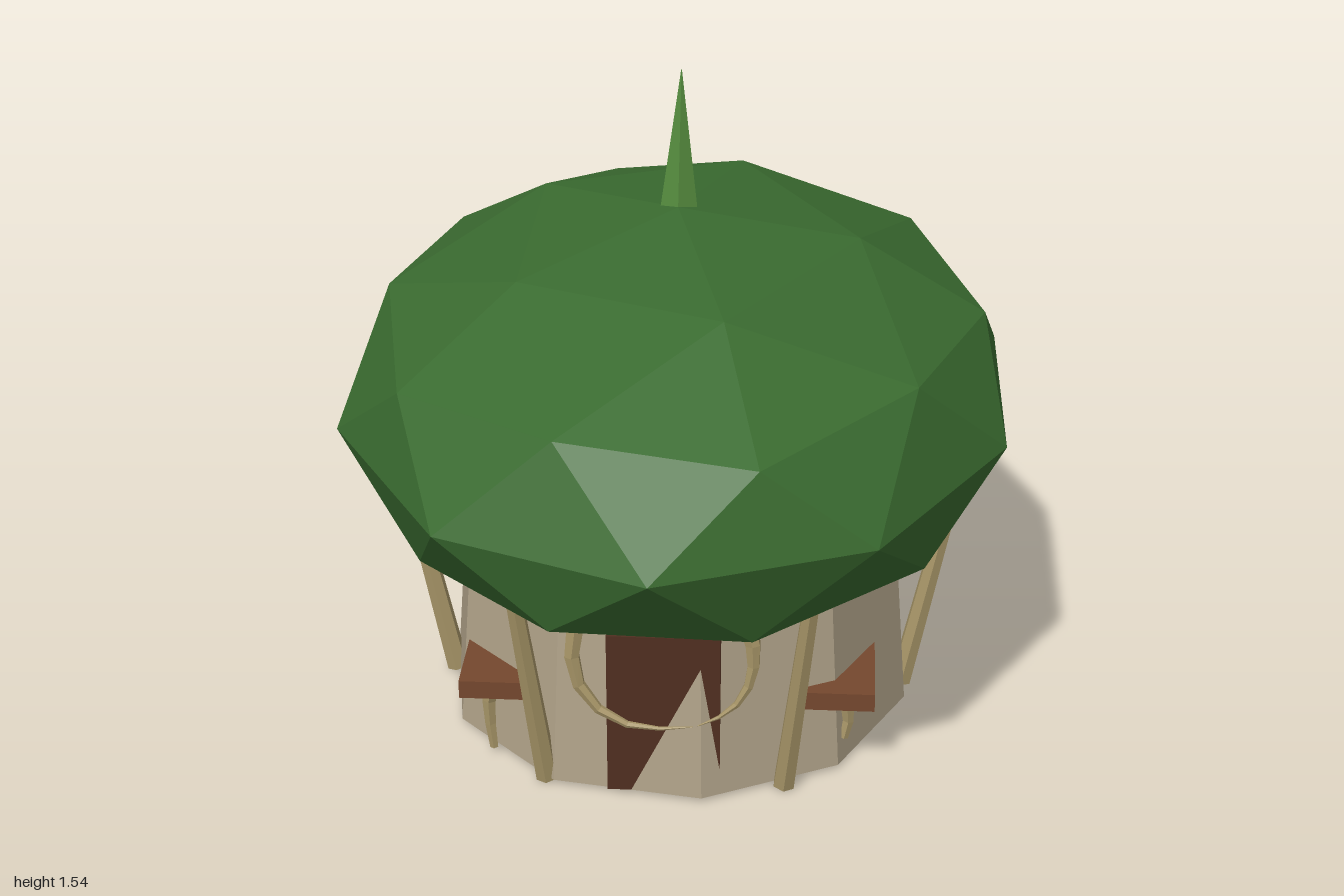
import * as THREE from 'three';

const material = (name, color) => {
  const m = new THREE.MeshStandardMaterial({ color, flatShading: true });
  m.name = name;
  return m;
};

const V = (x, y, z) => new THREE.Vector3(x, y, z);

// Faceted ball with a pole on top, stretched into the canopy
function canopyGeometry() {
  const verts = [0, 1, 0], faces = [], h = Math.sqrt(0.2), r = 2 * h;
  for (const [y, start] of [[h, 0], [-h, Math.PI / 5]]) {
    for (let k = 0; k < 5; k++) {
      const a = start + k * Math.PI * 0.4;
      verts.push(r * Math.cos(a), y, -r * Math.sin(a));
    }
  }
  verts.push(0, -1, 0);
  for (let k = 0; k < 5; k++) {
    const n = (k + 1) % 5;
    const u = 1 + k, u2 = 1 + n, l = 6 + k, l2 = 6 + n;
    faces.push(0, u, u2, u, l, u2, l, l2, u2, 11, l2, l);
  }
  const geo = new THREE.PolyhedronGeometry(verts, faces, 1, 1);
  geo.scale(0.8, 0.44, 1);
  geo.computeVertexNormals();
  return geo;
}

// Tube along points whose thickness runs from r0 to r1
function taperedTube(points, r0, r1, segments, sides) {
  const curve = new THREE.CatmullRomCurve3(points);
  const geo = new THREE.TubeGeometry(curve, segments, 1, sides, false);
  const pos = geo.attributes.position, p = V(0, 0, 0);
  for (let i = 0; i < pos.count; i++) {
    const t = Math.floor(i / (sides + 1)) / segments;
    const c = curve.getPointAt(t);
    p.fromBufferAttribute(pos, i).sub(c).multiplyScalar(r0 + (r1 - r0) * t).add(c);
    pos.setXYZ(i, p.x, p.y, p.z);
  }
  geo.computeVertexNormals();
  return geo;
}

// Straight tapered stick between two points
function stick(a, b, ra, rb, sides) {
  const dir = b.clone().sub(a);
  const geo = new THREE.CylinderGeometry(rb, ra, dir.length(), sides);
  geo.applyQuaternion(new THREE.Quaternion().setFromUnitVectors(V(0, 1, 0), dir.normalize()));
  const mid = a.clone().add(b).multiplyScalar(0.5);
  return geo.translate(mid.x, mid.y, mid.z);
}

export function createModel() {
  const group = new THREE.Group();
  const leaf = material('leaf green', 0x3a6b30);
  const sprout = material('sprout green', 0x50843a);
  const plaster = material('plaster', 0xb0a289);
  const wood = material('pale wood', 0xa89668);
  const plank = material('plank brown', 0x75482e);
  const dark = material('door brown', 0x502f20);

  const add = (name, geo, mat) => {
    const mesh = new THREE.Mesh(geo, mat);
    mesh.name = name;
    group.add(mesh);
    return mesh;
  };

  // Canopy roof and its leaning sprout
  add('canopy', canopyGeometry(), leaf).position.y = 0.81;
  add('sprout', stick(V(0, 1.2, -0.033), V(0, 1.54, -0.125), 0.05, 0.001, 5), sprout);

  // Ten-sided hut wall, slightly narrower at the top
  const wall = new THREE.CylinderGeometry(0.515, 0.57, 0.69, 10);
  wall.rotateY(Math.PI / 20);
  add('wall', wall, plaster).position.y = 0.355;

  // Door board, partly sunk into the wall
  const door = add('door', new THREE.BoxGeometry(0.26, 0.41, 0.06), dark);
  door.position.set(0, 0.215, 0.507);

  // Six leaning support poles
  for (let k = 0; k < 6; k++) {
    const a = k * Math.PI / 3, c = Math.cos(a), s = Math.sin(a);
    add('supportPole', stick(V(0.555 * c, 0.004, 0.555 * s), V(0.7 * c, 0.72, 0.7 * s), 0.027, 0.018, 6), wood);
  }

  for (const side of [-1, 1]) {
    // Long shelf boards running through the wall, with a bracket below
    const shelf = add('shelf', new THREE.BoxGeometry(0.17, 0.045, 0.71), plank);
    shelf.position.set(side * 0.398, 0.212, 0.095);
    const foot = side < 0 ? 0.01 : 0.07;
    add('shelfBracket', taperedTube(
      [V(side * 0.41, 0.2, 0.375), V(side * 0.425, 0.13, 0.37), V(side * 0.415, foot, 0.375)],
      0.02, 0.01, 3, 5), wood);

    // Curved tusks framing the doorway
    const tip = side < 0 ? V(0.07, 0.205, 0.565) : V(0.08, 0.205, 0.56);
    const path = [V(side * 0.165, 0.52, 0.54), V(side * 0.2, 0.44, 0.55), V(side * 0.2, 0.33, 0.555), V(side * 0.155, 0.25, 0.56)];
    if (side < 0) path.push(V(-0.06, 0.2, 0.565));
    path.push(tip);
    add('doorTusk', taperedTube(path, 0.026, 0.001, 7, 6), wood);
  }
  return group;
}
